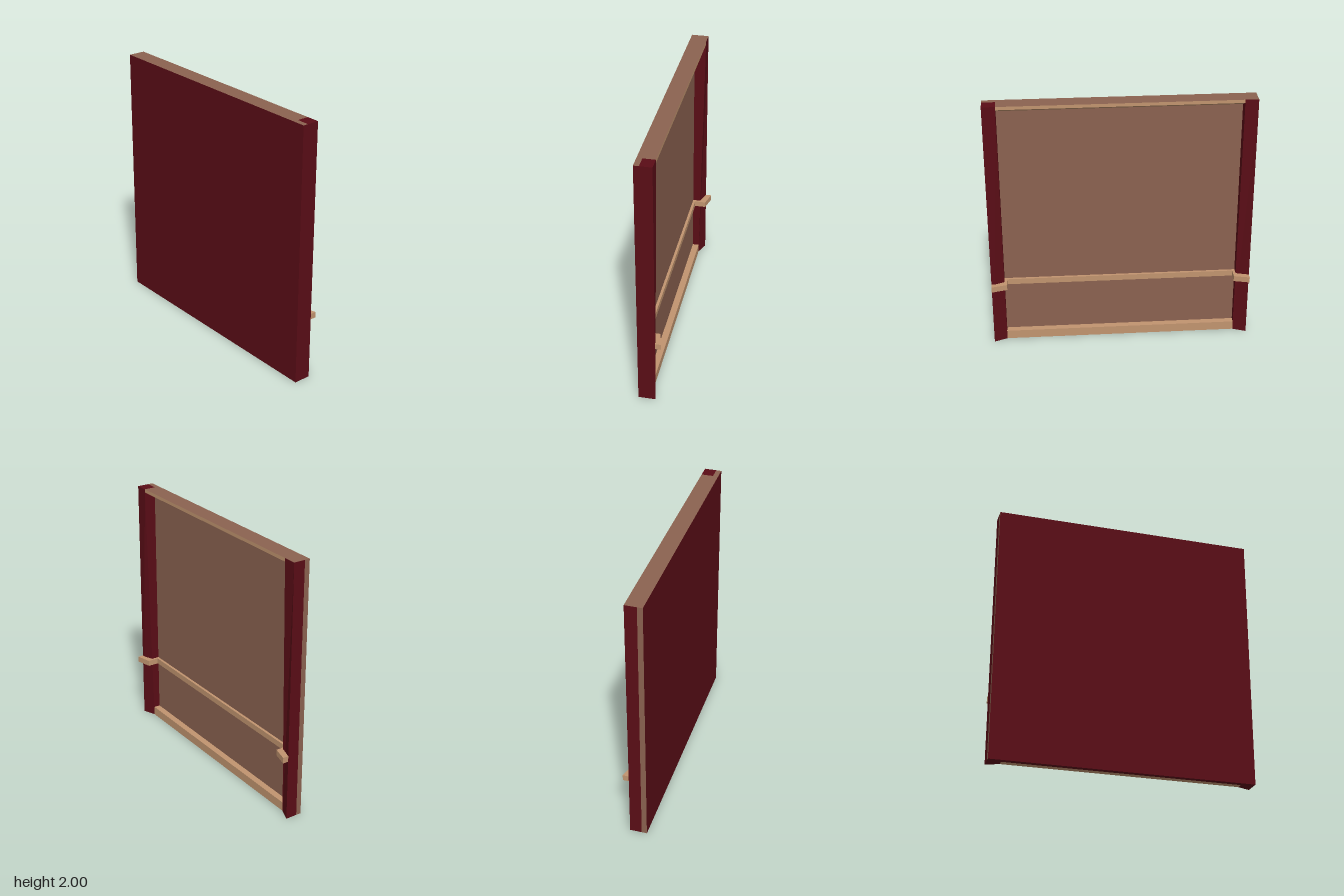
import * as THREE from 'three';

const material = (color) => new THREE.MeshStandardMaterial({ color, flatShading: true });

export function createModel() {
  const model = new THREE.Group();
  const red = material(0x5a0d16);
  const brown = material(0x8b6250);
  const tan = material(0xc1946f);

  // Box between two corners; the optional rule shifts its vertices.
  // Box materials run in the order +x, -x, +y, -y, +z, -z.
  function block(name, min, max, materials, rule) {
    const size = max.map((v, i) => v - min[i]);
    const geometry = new THREE.BoxGeometry(...size);
    geometry.translate(...max.map((v, i) => (v + min[i]) / 2));
    if (rule) {
      const p = geometry.attributes.position;
      const v = new THREE.Vector3();
      for (let i = 0; i < p.count; i++) {
        rule(v.fromBufferAttribute(p, i));
        p.setXYZ(i, v.x, v.y, v.z);
      }
      geometry.computeVertexNormals();
    }
    const mesh = new THREE.Mesh(geometry, materials);
    mesh.name = name;
    model.add(mesh);
  }

  // Panel: brown inside, top and one edge, red elsewhere
  block('panel', [-0.09, 0, -1], [-0.05, 2, 1], [brown, red, brown, red, red, brown]);

  // Side posts, their inner front edge sinking back toward the bottom
  for (const side of [1, -1]) {
    block(side > 0 ? 'frontPost' : 'backPost',
      [-0.05, 0, side > 0 ? 0.9 : -1], [0.04, 2, side > 0 ? 1 : -0.9],
      [red, red, side > 0 ? red : brown, red, red, red],
      (v) => { if (v.x > 0 && v.y < 1 && Math.abs(v.z) < 0.95) v.x = 0; });
  }

  // Top rail with a sloping underside
  block('topRail', [-0.05, 1.93, -0.9], [0.04, 2, 0.9], [tan, tan, brown, tan, tan, tan],
    (v) => { if (v.x > 0 && v.y < 1.95) v.y = 1.975; });

  // Bottom rail
  block('bottomRail', [-0.05, 0, -0.9], [0, 0.07, 0.9], tan);

  // Cross bar: along the panel, out past each post, then flaring to the ends
  const half = [[-0.05, 0.9], [0.01, 0.9], [0.04, 1], [0.085, 1], [0.055, 0.88], [-0.03, 0.88]];
  const outline = [...half, ...half.map(([x, z]) => [x, -z]).reverse()];
  const bar = new THREE.ExtrudeGeometry(
    new THREE.Shape(outline.map(([x, z]) => new THREE.Vector2(x, z))),
    { depth: 0.045, bevelEnabled: false });
  bar.rotateX(-Math.PI / 2);
  const crossBar = new THREE.Mesh(bar, tan);
  crossBar.name = 'crossBar';
  crossBar.position.y = 0.482;
  model.add(crossBar);

  return model;
}
